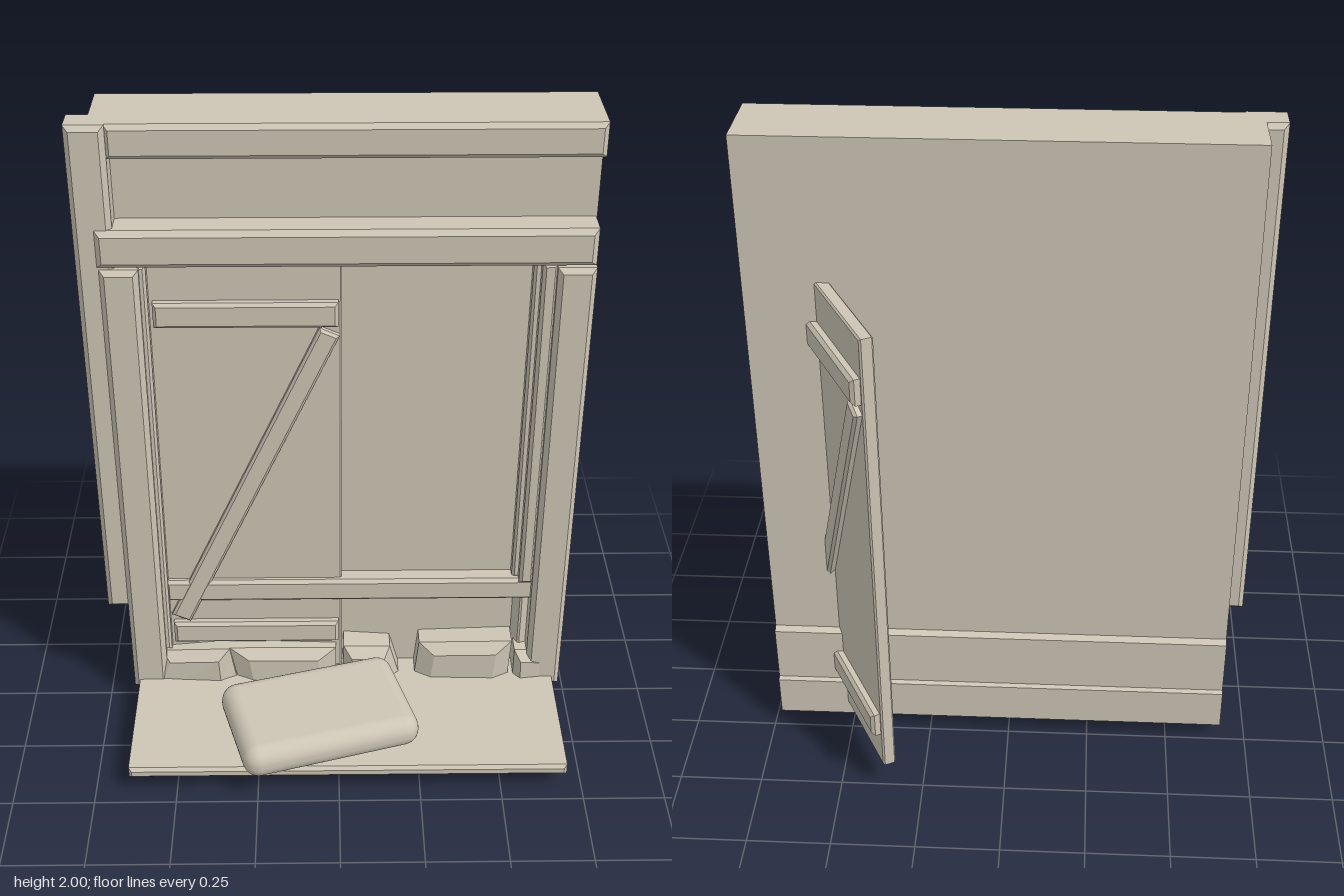
import * as THREE from 'three';
import { RoundedBoxGeometry } from 'three/addons/geometries/RoundedBoxGeometry.js';

function flatColour(name, color) {
  const m = new THREE.MeshStandardMaterial({ color });
  m.name = name;
  return m;
}
const warmGrey = flatColour('warmGrey', 0xcdc5b5);
const undersideBlack = flatColour('undersideBlack', 0x343434);

// Box with chamfered edges, given by its extents
function chamferBox(x0, x1, y0, y1, z0, z1, b = 0.01) {
  const s = new THREE.Shape();
  s.moveTo(x0 + b, y0 + b);
  s.lineTo(x1 - b, y0 + b);
  s.lineTo(x1 - b, y1 - b);
  s.lineTo(x0 + b, y1 - b);
  const g = new THREE.ExtrudeGeometry(s, {
    depth: z1 - z0 - 2 * b, bevelEnabled: true, bevelSize: b, bevelThickness: b, bevelSegments: 1,
  });
  return g.translate(0, 0, z0 + b);
}

function add(parent, name, geometry) {
  const m = new THREE.Mesh(geometry, warmGrey);
  m.name = name;
  parent.add(m);
  return m;
}

// Part near the ground whose downward faces are black
function addGrounded(parent, name, geometry) {
  const { position, normal } = geometry.attributes;
  geometry.clearGroups();
  for (let i = 0; i < position.count; i += 3) {
    const low = (position.getY(i) + position.getY(i + 1) + position.getY(i + 2)) / 3 < 0.12;
    geometry.addGroup(i, 3, low && normal.getY(i) < -0.6 ? 1 : 0);
  }
  add(parent, name, geometry).material = [warmGrey, undersideBlack];
}

// Door leaf reaching from its hinge at x = 0 towards dir * x, battens on the side face * z
function doorLeaf(name, dir, face) {
  const door = new THREE.Group();
  door.name = name;
  const span = (a, b) => [Math.min(a * dir, b * dir), Math.max(a * dir, b * dir)];
  const depth = (d) => (face > 0 ? [0.01, d] : [-d, -0.01]);
  addGrounded(door, 'doorPanel', chamferBox(...span(0, 0.56), 0.1, 1.58, -0.02, 0.02, 0.005));
  for (const y of [0.22, 1.38]) {
    add(door, 'doorBatten', chamferBox(...span(0.02, 0.55), y, y + 0.08, ...depth(0.047), 0.01));
  }
  const brace = add(door, 'doorBrace', chamferBox(-0.032, 0.032, -0.575, 0.575, ...depth(0.042), 0.008));
  brace.position.set(dir * 0.285, 0.84, 0);
  brace.rotation.z = -dir * 0.43;
  return door;
}

// Foundation stone: chamfered block narrowing from its base to its top
function foundationStone(parent, [x0, x1, t0, t1, y0, y1, lean]) {
  const g = chamferBox(0, 1, 0, 1, 0, 1, 0.17);
  const p = g.attributes.position;
  for (let i = 0; i < p.count; i++) {
    const u = p.getX(i), v = p.getY(i), w = p.getZ(i);
    const left = THREE.MathUtils.lerp(x0, t0, v), right = THREE.MathUtils.lerp(x1, t1, v);
    p.setXYZ(i, left + (right - left) * u, y0 + (y1 - y0) * v + lean * (u - 0.5),
      -0.12 + 0.168 * w + lean * (u - 0.5));
  }
  g.computeVertexNormals();
  addGrounded(parent, 'foundationStone', g);
}

export function createModel() {
  const model = new THREE.Group();
  model.name = 'doorwayWall';

  // Wall slab with a stepped plinth at the back, drawn in section and run along x
  const section = new THREE.Shape([
    [0.05, 0.055], [0.247, 0.055], [0.247, 0.183], [0.235, 0.19], [0.235, 0.37],
    [0.215, 0.38], [0.215, 2], [0.05, 2],
  ].map(([a, b]) => new THREE.Vector2(a, b)));
  const wall = new THREE.ExtrudeGeometry(section, { depth: 1.395, bevelEnabled: false });
  wall.rotateY(Math.PI / 2).translate(-0.67, 0, 0);
  addGrounded(model, 'wall', wall);

  // Timber frame
  const timbers = [
    ['outerPost', -0.73, -0.62, 0.385, 2, -0.075, 0.03, 0.015],
    ['topBeam', -0.625, 0.725, 1.9, 2, -0.07, 0.022, 0.014],
    ['lintelBeam', -0.67, 0.722, 1.587, 1.7, -0.07, 0.045, 0.016],
    ['rightPost', -0.665, -0.555, 0.06, 1.58, -0.07, 0.045, 0.015],
    ['leftPost', 0.615, 0.725, 0.06, 1.58, -0.07, 0.045, 0.015],
    ['rightJamb', -0.565, -0.537, 0.2, 1.585, -0.06, 0.02, 0.008],
    ['leftJamb', 0.575, 0.62, 0.46, 1.585, -0.06, 0.02, 0.01],
    ['leftJambStop', 0.555, 0.585, 0.46, 1.585, -0.06, -0.015, 0.008],
    ['crossRail', -0.545, 0.727, 0.385, 0.465, -0.06, 0.006, 0.011],
  ];
  for (const [name, ...extents] of timbers) addGrounded(model, name, chamferBox(...extents));

  // One leaf closed, one swung back
  const closed = doorLeaf('closedDoor', 1, 1);
  closed.position.set(-0.547, 0, -0.035);
  model.add(closed);
  const open = doorLeaf('openDoor', -1, -1);
  open.position.set(0.607, 0, -0.018);
  open.rotation.y = -1.086;
  model.add(open);

  // Threshold board
  addGrounded(model, 'thresholdBoard', chamferBox(-0.645, 0.7, 0.06, 0.097, -0.06, 0.46));

  // Foundation stones: base x range, top x range, y range, lean
  [
    [-0.655, -0.32, -0.57, -0.35, 0.018, 0.2, 0.02],
    [-0.315, -0.005, -0.35, -0.005, 0.015, 0.205, -0.015],
    [0.015, 0.225, 0.02, 0.17, 0.01, 0.21, -0.012],
    [0.245, 0.555, 0.265, 0.565, 0.02, 0.225, 0.01],
    [0.575, 0.715, 0.575, 0.69, 0.008, 0.188, -0.016],
  ].forEach((s) => foundationStone(model, s));

  // Loose rounded slab on the threshold, thinner and lower towards its left end
  const slab = add(model, 'stepStone', new RoundedBoxGeometry(0.58, 0.11, 0.375, 4, 0.052));
  const p = slab.geometry.attributes.position;
  for (let i = 0; i < p.count; i++) {
    const x = p.getX(i), z = p.getZ(i);
    const k = Math.abs(x) > 0.2 && Math.abs(z) > 0.12 ? 0.965 : 1;
    p.setXYZ(i, x * k, p.getY(i) * (1 - 0.15 * x), z * k);
  }
  slab.position.set(-0.06, 0.153, 0.28);
  slab.rotation.y = 0.28;

  return model;
}
